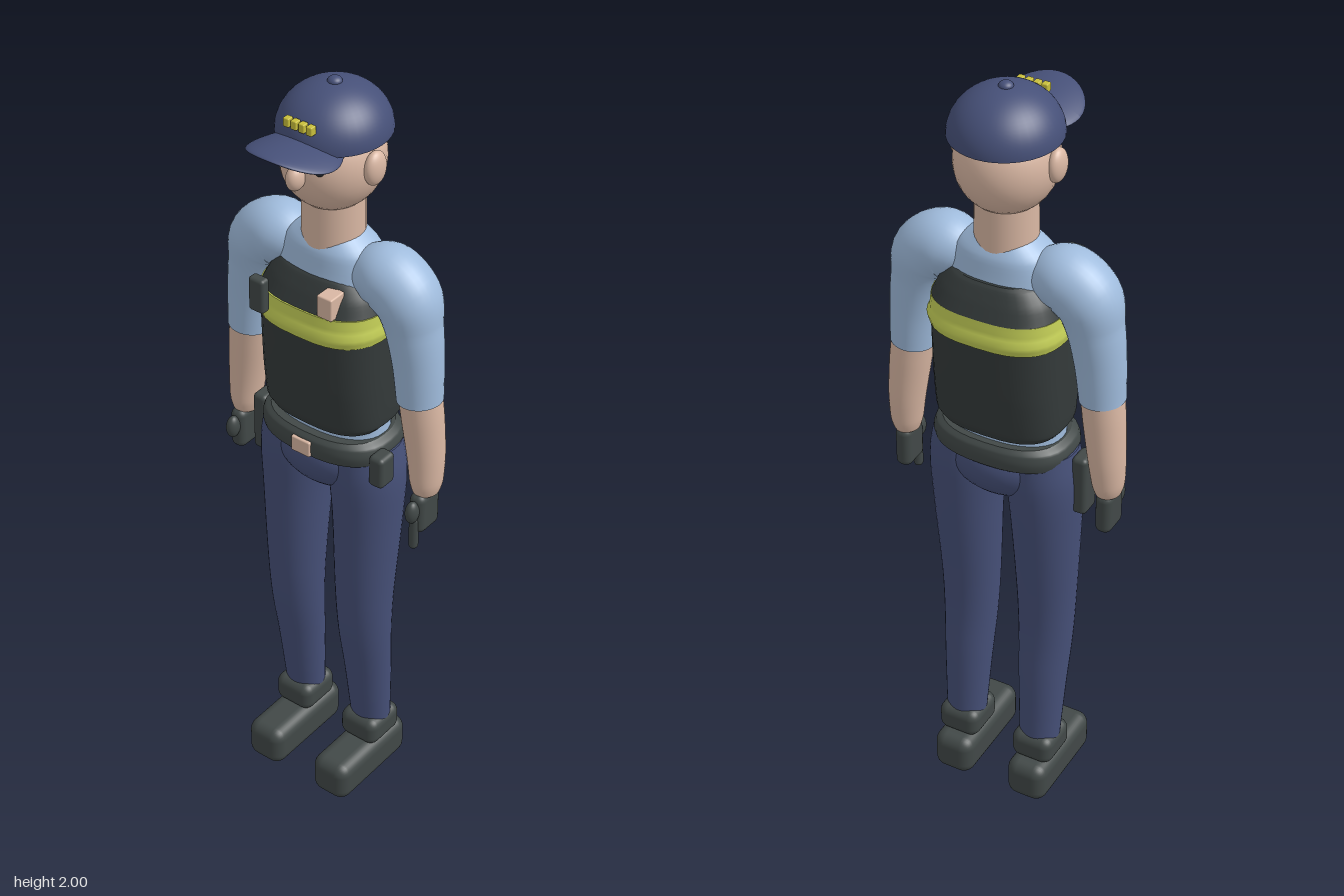
import * as THREE from 'three';
import { RoundedBoxGeometry } from 'three/addons/geometries/RoundedBoxGeometry.js';

const mat = (name, color) => {
  const m = new THREE.MeshStandardMaterial({ color });
  m.name = name;
  return m;
};

// Sweep a superellipse along stations [x, y, z, radius across, radius in depth].
function sweep(stations, power = 2, rows = 24, sides = 36) {
  const path = new THREE.CatmullRomCurve3(stations.map(s => new THREE.Vector3(s[0], s[1], s[2])));
  const size = new THREE.CatmullRomCurve3(stations.map(s => new THREE.Vector3(s[3], s[4], 0)));
  const zAxis = new THREE.Vector3(0, 0, 1);
  const pos = [], index = [];
  const bend = v => Math.sign(v) * Math.pow(Math.abs(v), 2 / power);
  const addRing = u => {
    const p = path.getPoint(u), r = size.getPoint(u), t = path.getTangent(u);
    const s = new THREE.Vector3().crossVectors(t, zAxis).normalize();
    const n = new THREE.Vector3().crossVectors(s, t);
    for (let j = 0; j < sides; j++) {
      const a = j / sides * Math.PI * 2;
      const q = p.clone().addScaledVector(s, r.x * bend(Math.cos(a))).addScaledVector(n, r.y * bend(Math.sin(a)));
      pos.push(q.x, q.y, q.z);
    }
  };
  for (let i = 0; i <= rows; i++) addRing(i / rows);
  for (let i = 0; i < rows; i++) {
    for (let j = 0; j < sides; j++) {
      const a = i * sides + j, b = i * sides + (j + 1) % sides;
      index.push(a, a + sides, b, b, a + sides, b + sides);
    }
  }
  // Flat caps with their own corners
  for (const u of [0, 1]) {
    const first = pos.length / 3;
    addRing(u);
    const c = path.getPoint(u);
    pos.push(c.x, c.y, c.z);
    for (let j = 0; j < sides; j++) {
      const a = first + j, b = first + (j + 1) % sides;
      index.push(first + sides, u ? b : a, u ? a : b);
    }
  }
  const g = new THREE.BufferGeometry();
  g.setAttribute('position', new THREE.Float32BufferAttribute(pos, 3));
  g.setIndex(index);
  g.computeVertexNormals();
  return g;
}

const upright = (list, z) => list.map(([y, rx, rz]) => [0, y, z, rx, rz]);

export function createModel() {
  const root = new THREE.Group();
  root.name = 'officer';
  const navy = mat('navy cloth', 0x465078);
  const blue = mat('light blue shirt', 0xa0bcdd);
  const skin = mat('skin', 0xd9b7a3);
  const black = mat('vest black', 0x343a3a);
  const leather = mat('dark leather', 0x414847);
  const lime = mat('reflective yellow', 0xc6d158);
  const gold = mat('gold', 0xc9bf3c);
  const eyeDark = mat('eye dark', 0x2b3036);

  const add = (name, geo, material, x = 0, y = 0, z = 0, parent = root) => {
    const m = new THREE.Mesh(geo, material);
    m.name = name;
    m.position.set(x, y, z);
    parent.add(m);
    return m;
  };
  const ball = (name, material, x, y, z, rx, ry, rz) =>
    add(name, new THREE.SphereGeometry(1, 32, 20).scale(rx, ry, rz), material, x, y, z);
  const box = (name, material, x, y, z, w, h, d, r = 0.01) =>
    add(name, new RoundedBoxGeometry(w, h, d, 4, r), material, x, y, z);

  // Head and neck
  ball('head', skin, 0, 1.81, -0.045, 0.12, 0.127, 0.125);
  add('neck', new THREE.CylinderGeometry(0.073, 0.075, 0.16, 32), skin, 0, 1.65, -0.048);
  ball('nose', skin, 0, 1.81, 0.088, 0.02, 0.031, 0.027);
  for (const side of [-1, 1]) {
    ball('ear', skin, side * 0.121, 1.82, -0.038, 0.02, 0.042, 0.033);
    ball('eye', eyeDark, side * 0.05, 1.843, 0.068, 0.014, 0.021, 0.012);
  }

  // Cap: closed dome, button, curved brim and plain front plate
  const dome = new THREE.SphereGeometry(1, 40, 20, 0, Math.PI * 2, 0, Math.PI / 2).scale(0.131, 0.114, 0.136);
  add('capDome', dome, navy, 0, 1.875, -0.05);
  add('capUnderside', new THREE.CircleGeometry(1, 40).rotateX(Math.PI / 2).scale(0.131, 1, 0.136), navy, 0, 1.875, -0.05);
  ball('capButton', navy, 0, 1.988, -0.05, 0.017, 0.012, 0.017);
  const brim = new THREE.SphereGeometry(1, 40, 20).scale(0.107, 0.012, 0.106);
  const bp = brim.attributes.position;
  for (let i = 0; i < bp.count; i++) bp.setY(i, bp.getY(i) - 2 * bp.getX(i) ** 2);
  brim.computeVertexNormals();
  add('capBrim', brim, navy, 0, 1.89, 0.09).rotation.x = -0.15;
  for (let i = 0; i < 4; i++) {
    box('capTrim', gold, (i - 1.5) * 0.021, 1.933, 0.074, 0.016, 0.022, 0.018, 0.003);
  }

  // Shirt body
  add('shirt', sweep(upright([
    [1.06, 0.15, 0.105], [1.15, 0.15, 0.105], [1.4, 0.15, 0.12],
    [1.53, 0.135, 0.091], [1.59, 0.115, 0.08], [1.625, 0.07, 0.06]], -0.05), 2.3), blue);

  // Vest in three bands
  add('vestLower', sweep(upright([
    [1.125, 0.148, 0.108], [1.145, 0.162, 0.117], [1.25, 0.165, 0.131], [1.392, 0.165, 0.14]], -0.052), 2.8), black);
  add('vestStripe', sweep(upright([
    [1.392, 0.167, 0.143], [1.43, 0.167, 0.143], [1.465, 0.164, 0.139]], -0.052), 2.8, 6), lime);
  add('vestUpper', sweep(upright([
    [1.465, 0.162, 0.137], [1.5, 0.145, 0.119], [1.53, 0.118, 0.1], [1.537, 0.105, 0.092]], -0.054), 2.8, 12), black);
  box('radio', leather, -0.092, 1.48, 0.109, 0.044, 0.09, 0.028, 0.009);
  box('chestBadge', skin, 0.075, 1.495, 0.06, 0.042, 0.058, 0.05, 0.004);

  // Belt and the gear on it
  add('belt', sweep(upright([
    [1.04, 0.16, 0.112], [1.048, 0.174, 0.12], [1.07, 0.178, 0.123],
    [1.092, 0.172, 0.12], [1.104, 0.155, 0.11]], -0.048), 2.5), leather);
  box('buckle', skin, 0, 1.069, 0.07, 0.055, 0.042, 0.02, 0.004);
  box('beltPouch', leather, 0.184, 1.047, 0.005, 0.042, 0.085, 0.055, 0.012);
  box('holster', leather, -0.203, 0.99, -0.045, 0.04, 0.16, 0.06, 0.012);

  // Trousers
  ball('hips', navy, 0, 1.01, -0.05, 0.15, 0.1, 0.115);
  const legPath = side => [
    [0.098, 1.065, -0.05, 0.085, 0.09], [0.104, 0.98, -0.05, 0.093, 0.096], [0.107, 0.85, -0.048, 0.086, 0.088],
    [0.106, 0.6, -0.04, 0.074, 0.071], [0.106, 0.48, -0.044, 0.069, 0.064],
    [0.106, 0.35, -0.058, 0.062, 0.057], [0.106, 0.16, -0.074, 0.052, 0.047]
  ].map(s => [side * s[0], ...s.slice(1)]);

  // Arms, from the shoulder down
  const sleevePath = side => [
    [0.085, 1.515, -0.05, 0.045, 0.045], [0.115, 1.535, -0.05, 0.07, 0.07], [0.16, 1.543, -0.05, 0.081, 0.081],
    [0.207, 1.51, -0.05, 0.08, 0.08], [0.228, 1.44, -0.05, 0.068, 0.068],
    [0.242, 1.35, -0.05, 0.061, 0.06], [0.25, 1.25, -0.05, 0.055, 0.056]
  ].map(s => [side * s[0], ...s.slice(1)]);
  const forearmPath = side => [
    [0.249, 1.27, -0.05, 0.052, 0.052], [0.257, 1.2, -0.053, 0.051, 0.051], [0.268, 1.09, -0.056, 0.045, 0.047],
    [0.272, 1.02, -0.054, 0.039, 0.042], [0.272, 0.99, -0.053, 0.03, 0.033], [0.272, 0.98, -0.053, 0.012, 0.013]
  ].map(s => [side * s[0], ...s.slice(1)]);

  for (const side of [-1, 1]) {
    add('leg', sweep(legPath(side)), navy);
    add('sleeve', sweep(sleevePath(side), 2, 36), blue);
    add('forearm', sweep(forearmPath(side)), skin);
    box('glove', leather, side * 0.272, 0.94, -0.048, 0.042, 0.11, 0.08, 0.018);
    ball('thumb', leather, side * 0.272, 0.955, 0, 0.016, 0.03, 0.02);
    // Boot cuff and shoe
    box('bootCuff', leather, side * 0.106, 0.147, -0.07, 0.112, 0.08, 0.122, 0.026);
    box('shoe', leather, side * 0.106, 0.056, -0.026, 0.108, 0.112, 0.276, 0.032);
  }
  // Pointing finger on the left hand
  add('finger', new THREE.CapsuleGeometry(0.012, 0.07, 6, 16), leather, 0.271, 0.888, -0.01);

  return root;
}
